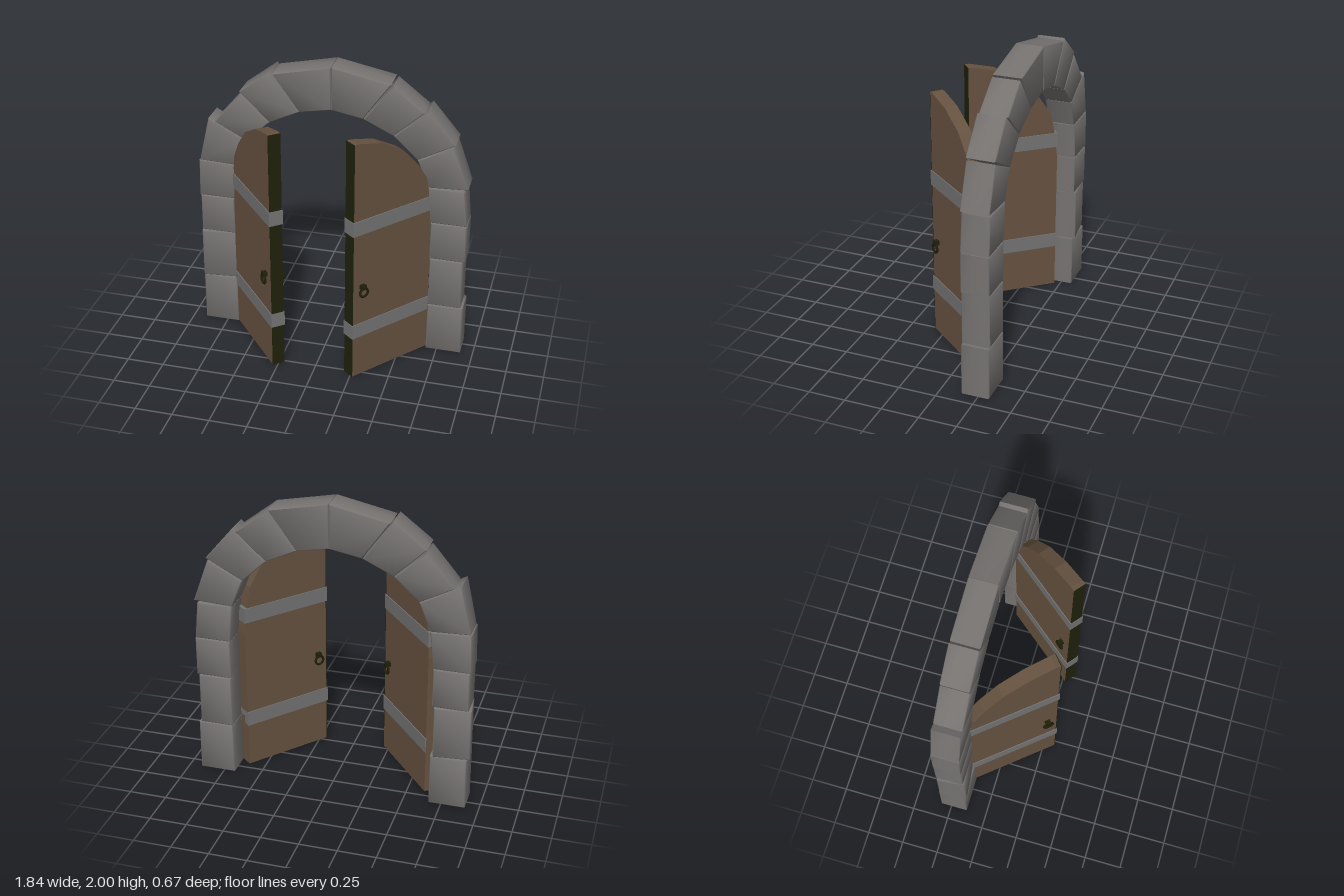
import * as THREE from 'three';
import { toCreasedNormals } from 'three/addons/utils/BufferGeometryUtils.js';

const material = (name, color) => {
  const m = new THREE.MeshStandardMaterial({ color });
  m.name = name;
  return m;
};

const outline = (points) => new THREE.Shape(points.map(([x, y]) => new THREE.Vector2(x, y)));

export function createModel() {
  const stone = material('stone grey', 0x757270);
  const wood = material('brown wood', 0x665240);
  const strapMetal = material('strap grey', 0x737373);
  const darkMetal = material('dark olive', 0x1f200a);

  const model = new THREE.Group();
  model.name = 'archedDoorway';

  const add = (parent, name, geometry, mat, x = 0, y = 0, z = 0) => {
    const mesh = new THREE.Mesh(geometry, mat);
    mesh.name = name;
    mesh.position.set(x, y, z);
    parent.add(mesh);
    return mesh;
  };

  // Softly bevelled stone block from its four front corners
  const DEPTH = 0.187, BEVEL = 0.006;
  function addStone(name, corners, turn = 0) {
    const cx = corners.reduce((s, p) => s + p[0], 0) / corners.length;
    const geometry = new THREE.ExtrudeGeometry(outline(corners.map(([x, y]) => [x - cx, y])), {
      depth: DEPTH - 2 * BEVEL, steps: 2, bevelEnabled: true, bevelSegments: 1,
      bevelSize: BEVEL, bevelThickness: BEVEL, bevelOffset: -BEVEL - 0.0015,
    });
    geometry.translate(0, 0, -DEPTH / 2 + BEVEL);
    add(model, name, toCreasedNormals(geometry, 0.9), stone, cx, 0, -0.231).rotation.y = turn;
  }

  // Corner order: inner bottom, outer bottom, outer top, inner top
  const rightStones = [
    [[-0.667, 0], [-0.91, 0], [-0.91, 0.357], [-0.667, 0.357]],
    [[-0.675, 0.357], [-0.917, 0.357], [-0.917, 0.713], [-0.675, 0.713]],
    [[-0.67, 0.715], [-0.906, 0.715], [-0.906, 0.982], [-0.67, 0.982]],
    [[-0.67, 0.983], [-0.912, 0.983], [-0.907, 1.247], [-0.645, 1.235]],
    [[-0.645, 1.237], [-0.9, 1.247], [-0.83, 1.56], [-0.57, 1.425]],
    [[-0.57, 1.425], [-0.787, 1.54], [-0.608, 1.753], [-0.41, 1.575]],
    [[-0.41, 1.575], [-0.612, 1.772], [-0.4, 1.934], [-0.21, 1.67]],
    [[-0.21, 1.67], [-0.385, 1.92], [0, 2.002], [0, 1.708]],
  ];
  const leftStones = [
    [[0.674, 0], [0.916, 0], [0.916, 0.357], [0.674, 0.357]],
    [[0.675, 0.357], [0.9, 0.357], [0.9, 0.713], [0.675, 0.713]],
    [[0.672, 0.715], [0.912, 0.715], [0.912, 0.982], [0.672, 0.982]],
    [[0.67, 0.983], [0.91, 0.983], [0.886, 1.237], [0.645, 1.237]],
    [[0.645, 1.237], [0.907, 1.25], [0.803, 1.54], [0.57, 1.425]],
    [[0.57, 1.425], [0.814, 1.555], [0.63, 1.772], [0.41, 1.575]],
    [[0.41, 1.575], [0.608, 1.755], [0.4, 1.916], [0.21, 1.67]],
    [[0.21, 1.67], [0.39, 1.924], [0, 2.002], [0, 1.708]],
  ];
  rightStones.forEach((c, i) => addStone(`rightStone${i + 1}`, c, i === 1 ? 0.11 : 0));
  leftStones.forEach((c, i) => addStone(`leftStone${i + 1}`, c));

  // Door leaf: local x runs from the free edge to the hinge
  const THICK = 0.085, WIDTH = 0.63;
  const leafProfile = [
    [0, 0.01], [WIDTH, 0.01], [WIDTH, 1.0], [0.605, 1.2], [0.58, 1.32],
    [0.5, 1.44], [0.375, 1.575], [0.2, 1.67], [0.03, 1.71], [0, 1.71],
  ];
  function addDoor(name, tipX, angle) {
    const door = new THREE.Group();
    door.name = name;
    door.position.set(tipX, 0, 0.2975);
    door.rotation.y = angle;
    model.add(door);

    const leaf = new THREE.ExtrudeGeometry(outline(leafProfile), { depth: THICK, bevelEnabled: false });
    leaf.translate(0, 0, -THICK / 2);
    add(door, 'leaf', leaf, wood);
    add(door, 'darkFreeEdge', new THREE.BoxGeometry(0.004, 1.7, THICK), darkMetal, -0.002, 0.86, 0);

    // Straps wrapped around the leaf
    for (const y of [0.362, 1.126]) {
      add(door, 'strap', new THREE.BoxGeometry(WIDTH + 0.008, 0.102, THICK + 0.012), strapMetal, WIDTH / 2 - 0.004, y, 0);
    }

    // Ring handle on each face
    for (const side of [-1, 1]) {
      const z = side * THICK / 2;
      add(door, 'handleMount', new THREE.BoxGeometry(0.036, 0.03, 0.03), darkMetal, 0.069, 0.692, z + side * 0.015);
      add(door, 'handleRing', new THREE.TorusGeometry(0.031, 0.0085, 6, 14), darkMetal, 0.069, 0.655, z + side * 0.023);
    }
  }
  addDoor('rightDoor', -0.2475, Math.atan2(0.77, -0.64));
  addDoor('leftDoor', 0.2375, Math.atan2(0.77, 0.64));

  return model;
}
